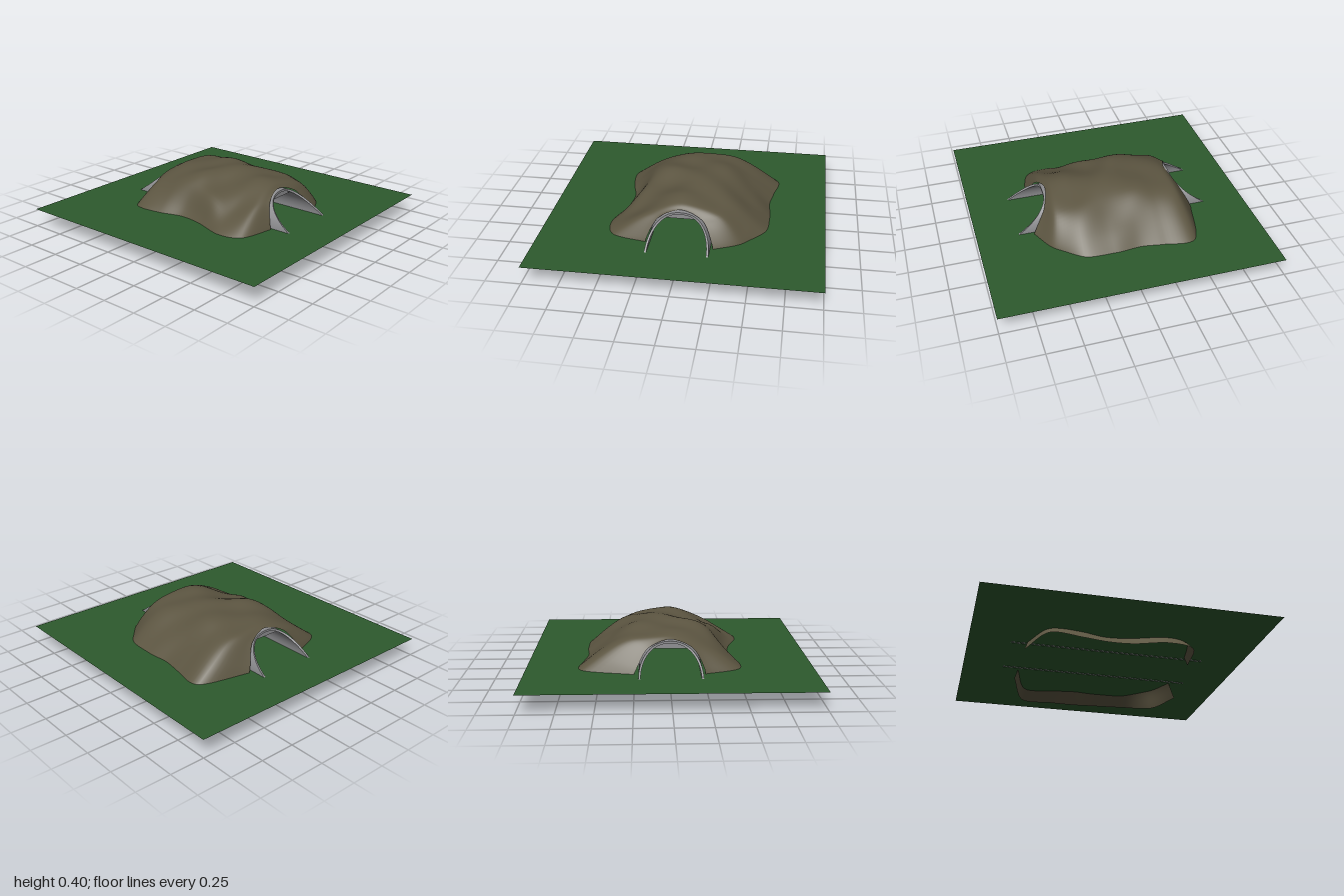
import * as THREE from 'three';
import { toCreasedNormals } from 'three/addons/utils/BufferGeometryUtils.js';

const GROUND_Y = 0.13;

const material = (name, color) => {
  const m = new THREE.MeshStandardMaterial({ color, side: THREE.DoubleSide });
  m.name = name;
  return m;
};

// Builds an indexed surface from rows of equally many points.
function surface(rows, closed = false) {
  const n = rows[0].length;
  const index = [];
  for (let j = 0; j < rows.length - 1; j++) {
    for (let i = 0; i < (closed ? n : n - 1); i++) {
      const a = j * n + i, b = j * n + ((i + 1) % n), c = a + n, d = b + n;
      index.push(a, b, c, b, d, c);
    }
  }
  const g = new THREE.BufferGeometry();
  g.setAttribute('position', new THREE.Float32BufferAttribute(rows.flat().flatMap((p) => [p.x, p.y, p.z]), 3));
  g.setIndex(index);
  g.computeVertexNormals();
  return g;
}

// Samples a smooth curve through control points, evenly per span.
function smooth(points, count) {
  const curve = new THREE.CatmullRomCurve3(points, false, 'catmullrom', 0.45);
  return Array.from({ length: count + 1 }, (_, i) => curve.getPoint(i / count));
}

// Rock hill: cross-sections from the front mouth to the back mouth.
// Each has a base z, an outward sweep of its feet, and x, y pairs.
const SECTIONS = [
  { z: 0.455, sweep: 0.13, p: [-0.24, 0.07, -0.228, 0.16, -0.153, 0.29, 0, 0.34, 0.153, 0.29, 0.23, 0.16, 0.265, 0.02] },
  { z: 0.41, sweep: 0.11, p: [-0.56, 0.05, -0.47, 0.14, -0.27, 0.28, 0, 0.37, 0.27, 0.31, 0.42, 0.15, 0.47, 0.0] },
  { z: 0.29, sweep: 0.03, p: [-0.61, 0.05, -0.5, 0.15, -0.33, 0.25, 0, 0.388, 0.27, 0.34, 0.47, 0.22, 0.66, 0.06] },
  { z: 0.1, sweep: 0, p: [-0.54, 0.05, -0.43, 0.15, -0.3, 0.31, -0.02, 0.37, 0.25, 0.37, 0.47, 0.23, 0.68, 0.06] },
  { z: -0.08, sweep: 0, p: [-0.53, 0.05, -0.41, 0.16, -0.28, 0.32, -0.08, 0.4, 0.25, 0.37, 0.46, 0.24, 0.67, 0.05] },
  { z: -0.26, sweep: 0, p: [-0.56, 0.05, -0.44, 0.17, -0.27, 0.32, -0.03, 0.378, 0.25, 0.36, 0.45, 0.26, 0.69, 0.06] },
  { z: -0.41, sweep: -0.08, p: [-0.56, 0.06, -0.44, 0.16, -0.27, 0.28, 0, 0.36, 0.25, 0.35, 0.47, 0.23, 0.7, 0.07] },
  { z: -0.46, sweep: -0.15, p: [-0.24, 0.07, -0.228, 0.17, -0.153, 0.29, 0, 0.34, 0.153, 0.29, 0.23, 0.17, 0.28, 0.07] },
];
const SWEEP_SHARE = [1, 0.75, 0.3, 0, 0.3, 0.75, 1];

function rockGeometry() {
  const across = 48, along = 56;
  const sections = SECTIONS.map(({ z, sweep, p }) => smooth(
    SWEEP_SHARE.map((s, i) => new THREE.Vector3(p[2 * i], p[2 * i + 1], z + sweep * s)), across));
  // The right front foot reaches further forward.
  sections[0].forEach((p, i) => { p.z += 0.06 * Math.max(0, i / across - 0.7) / 0.3; });
  const strips = sections[0].map((_, i) => smooth(sections.map((s) => s[i]), along));
  const rows = Array.from({ length: along + 1 }, (_, j) => strips.map((s) => s[j]));
  // Gentle lumps, fading out at the mouths and feet.
  rows.forEach((row, j) => row.forEach((p, i) => {
    const fade = Math.sin((Math.PI * i) / across) * Math.sin((Math.PI * j) / along);
    p.y += 0.011 * fade * (Math.sin(13 * p.x + 9 * p.z) + Math.sin(17 * p.z - 11 * p.x + 1) * 0.8);
  }));
  return surface(rows);
}

// Tunnel lining: an elliptical shell whose walls sweep out at both ends.
function liningGeometry() {
  const steps = 32;
  const rows = [];
  for (let i = 0; i <= steps; i++) {
    const a = Math.PI * (1 - i / steps);
    const c = Math.cos(a), s = Math.sin(a);
    const end = 0.48 + 0.225 * Math.pow(Math.max(0, 1 - s / 0.97), 1.3);
    const at = (rx, ry, z) => new THREE.Vector3(rx * c, GROUND_Y - 0.003 + ry * s, z);
    rows.push([at(0.22, 0.206, end), at(0.205, 0.19, end), at(0.205, 0.19, -end), at(0.22, 0.206, -end)]);
  }
  return toCreasedNormals(surface(rows, true), 0.6);
}

// Flat ceiling filling the crown of the lining.
function ceilingGeometry() {
  const shape = new THREE.Shape();
  shape.absellipse(0, GROUND_Y, 0.21, 0.195, 0.84, Math.PI - 0.84, false);
  shape.closePath();
  const g = new THREE.ExtrudeGeometry(shape, { depth: 0.92, bevelEnabled: false, curveSegments: 16 });
  return g.translate(0, 0, -0.46);
}

export function createModel() {
  const grass = material('grass green', 0x2d5a2d);
  const stone = material('brown rock', 0x5c5541);
  const concrete = material('concrete grey', 0x8f8f92);

  const model = new THREE.Group();
  model.name = 'rockTunnel';
  const add = (name, geometry, mat) => {
    const mesh = new THREE.Mesh(geometry, mat);
    mesh.name = name;
    model.add(mesh);
  };

  add('ground', new THREE.PlaneGeometry(2, 2).rotateX(-Math.PI / 2).translate(0, GROUND_Y, 0), grass);
  add('rockHill', rockGeometry(), stone);
  add('tunnelLining', liningGeometry(), concrete);
  add('tunnelCeiling', ceilingGeometry(), concrete);
  return model;
}
